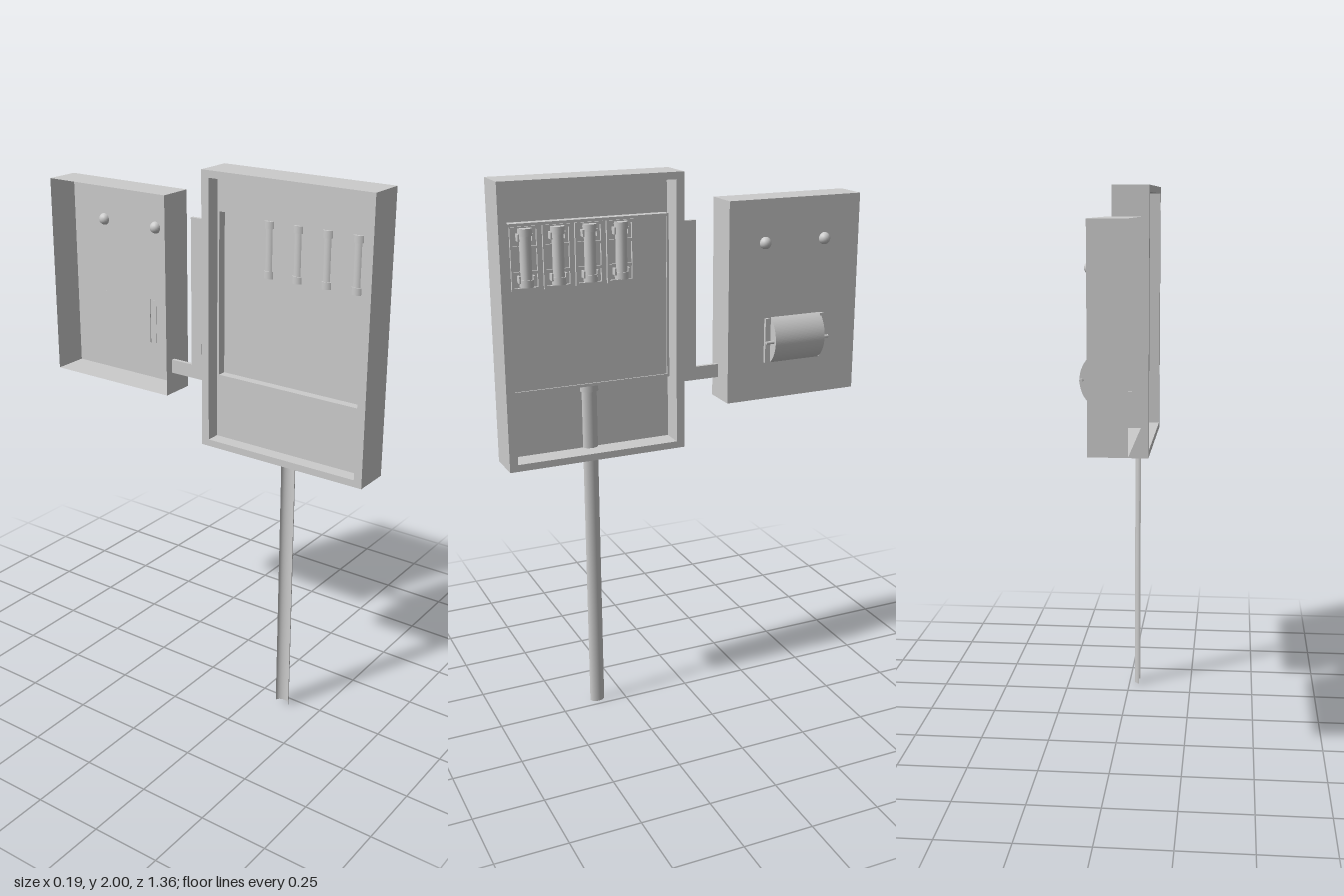
import * as THREE from 'three';

const grey = new THREE.MeshStandardMaterial({ color: 0xcccccc });
const thin = new THREE.MeshStandardMaterial({ color: 0xcccccc, side: THREE.DoubleSide });

function add(parent, name, geometry, material = grey) {
  const mesh = new THREE.Mesh(geometry, material);
  mesh.name = name;
  parent.add(mesh);
  return mesh;
}

// Box given by its limits on each axis
function block(x0, x1, y0, y1, z0, z1) {
  return new THREE.BoxGeometry(x1 - x0, y1 - y0, z1 - z0)
    .translate((x0 + x1) / 2, (y0 + y1) / 2, (z0 + z1) / 2);
}

// Pressed box without its -x face
function openBack(...limits) {
  const g = block(...limits);
  const index = Array.from(g.index.array);
  index.splice(6, 6);
  g.setIndex(index);
  g.clearGroups();
  return g;
}

// Outline in the z-y plane, given as [z, y] corners
function outline(points, Type = THREE.Shape) {
  return new Type(points.map(([z, y]) => new THREE.Vector2(-z, y)));
}

const rect = (y0, y1, z0, z1) => [[z1, y0], [z0, y0], [z0, y1], [z1, y1]];

// Flat sheet or frame between two x values, with an optional hole
function sheet(x0, x1, points, hole) {
  const shape = outline(points);
  if (hole) shape.holes.push(outline(hole, THREE.Path));
  return new THREE.ExtrudeGeometry(shape, { depth: x1 - x0, bevelEnabled: false })
    .rotateY(Math.PI / 2).translate(x0, 0, 0);
}

// Half pipe bulging towards +x
function halfPipe(y0, y1, z, radius, depth) {
  return new THREE.CylinderGeometry(radius, radius, y1 - y0, 16, 1, true, 0, Math.PI)
    .scale(depth / radius, 1, 1).translate(-0.04, (y0 + y1) / 2, z);
}

function makeCabinet() {
  const cabinet = new THREE.Group();
  cabinet.name = 'cabinet';
  add(cabinet, 'cabinetFrame',
    sheet(-0.095, 0.04, rect(1.01, 2, 0.02, 0.68), rect(1.035, 1.975, 0.05, 0.65)));
  add(cabinet, 'mountingPlate',
    sheet(-0.044, -0.04, rect(1.03, 1.98, 0.045, 0.655), rect(1.27, 1.855, 0.058, 0.645)));
  add(cabinet, 'raisedPanel', openBack(-0.042, -0.012, 1.27, 1.855, 0.058, 0.645), thin);
  add(cabinet, 'panelLip',
    sheet(-0.012, -0.007, rect(1.27, 1.855, 0.058, 0.645), rect(1.28, 1.845, 0.066, 0.637)));
  return cabinet;
}

// Cartridge with end caps, held by clips in a small frame
function makeFuse(z) {
  const fuse = new THREE.Group();
  fuse.name = 'fuse';
  add(fuse, 'fuseHolder',
    sheet(-0.012, -0.002, rect(1.63, 1.845, z - 0.05, z + 0.05),
      rect(1.64, 1.835, z - 0.042, z + 0.042)));
  add(fuse, 'cartridge',
    new THREE.CylinderGeometry(0.02, 0.02, 0.18, 16).translate(0.002, 1.742, z));
  for (const y of [1.657, 1.828]) {
    add(fuse, 'endCap',
      new THREE.CylinderGeometry(0.024, 0.024, 0.025, 16).translate(0.002, y, z));
  }
  for (const y of [1.69, 1.775]) {
    add(fuse, 'crossRail', block(-0.012, -0.004, y - 0.005, y + 0.005, z - 0.045, z + 0.045));
  }
  for (const s of [-1, 1]) {
    for (const y of [1.67, 1.81]) {
      add(fuse, 'clip', block(-0.012, 0.012, y - 0.012, y + 0.012, z + s * 0.025 - 0.003, z + s * 0.025 + 0.003));
    }
  }
  return fuse;
}

function makeDoor() {
  const door = new THREE.Group();
  door.name = 'door';
  add(door, 'doorShell', openBack(-0.08, 0.048, 1.155, 1.89, -0.68, -0.15), thin);

  // Rounded handle, a circle segment swept along z
  const R = 0.107, half = Math.asin(0.0875 / R);
  const segment = new THREE.Shape();
  segment.absarc(0, 0, R, -half, half, false);
  add(door, 'handle',
    new THREE.ExtrudeGeometry(segment, { depth: 0.205, bevelEnabled: false, curveSegments: 20 })
      .translate(0.09 - R, 1.377, -0.528));
  for (const z of [-0.303, -0.53]) {
    add(door, 'handleBracket', block(0.046, 0.06, 1.295, 1.46, z - 0.007, z + 0.007));
    add(door, 'handlePin',
      new THREE.CylinderGeometry(0.006, 0.006, 0.03, 10)
        .rotateX(Math.PI / 2).translate(0.083, 1.377, z));
  }

  // Pair of studs
  for (const z of [-0.293, -0.535]) {
    add(door, 'stud', new THREE.SphereGeometry(0.022, 16, 12).translate(0.05, 1.735, z));
  }
  return door;
}

function makeArm() {
  const arm = new THREE.Group();
  arm.name = 'hingeArm';
  add(arm, 'armBar', sheet(-0.048, -0.034, [
    [0.02, 1.77], [0.0, 1.77], [0.0, 1.785], [-0.015, 1.785], [-0.015, 1.235], [-0.155, 1.235],
    [-0.155, 1.285], [-0.06, 1.285], [-0.06, 1.82], [0.02, 1.82],
  ]));
  add(arm, 'armFlange', block(-0.055, -0.026, 1.765, 1.825, 0.008, 0.024));
  return arm;
}

export function createModel() {
  const model = new THREE.Group();
  model.name = 'fuseBoxOnPole';
  model.add(makeCabinet(), makeDoor(), makeArm());
  for (let i = 0; i < 4; i++) model.add(makeFuse(0.58 - i * 0.1135));

  // Supporting channel and its run inside the cabinet
  add(model, 'pole', halfPipe(0, 1.25, 0.355, 0.028, 0.02), thin);
  add(model, 'poleCollar', halfPipe(1.245, 1.27, 0.355, 0.034, 0.026), thin);
  return model;
}
